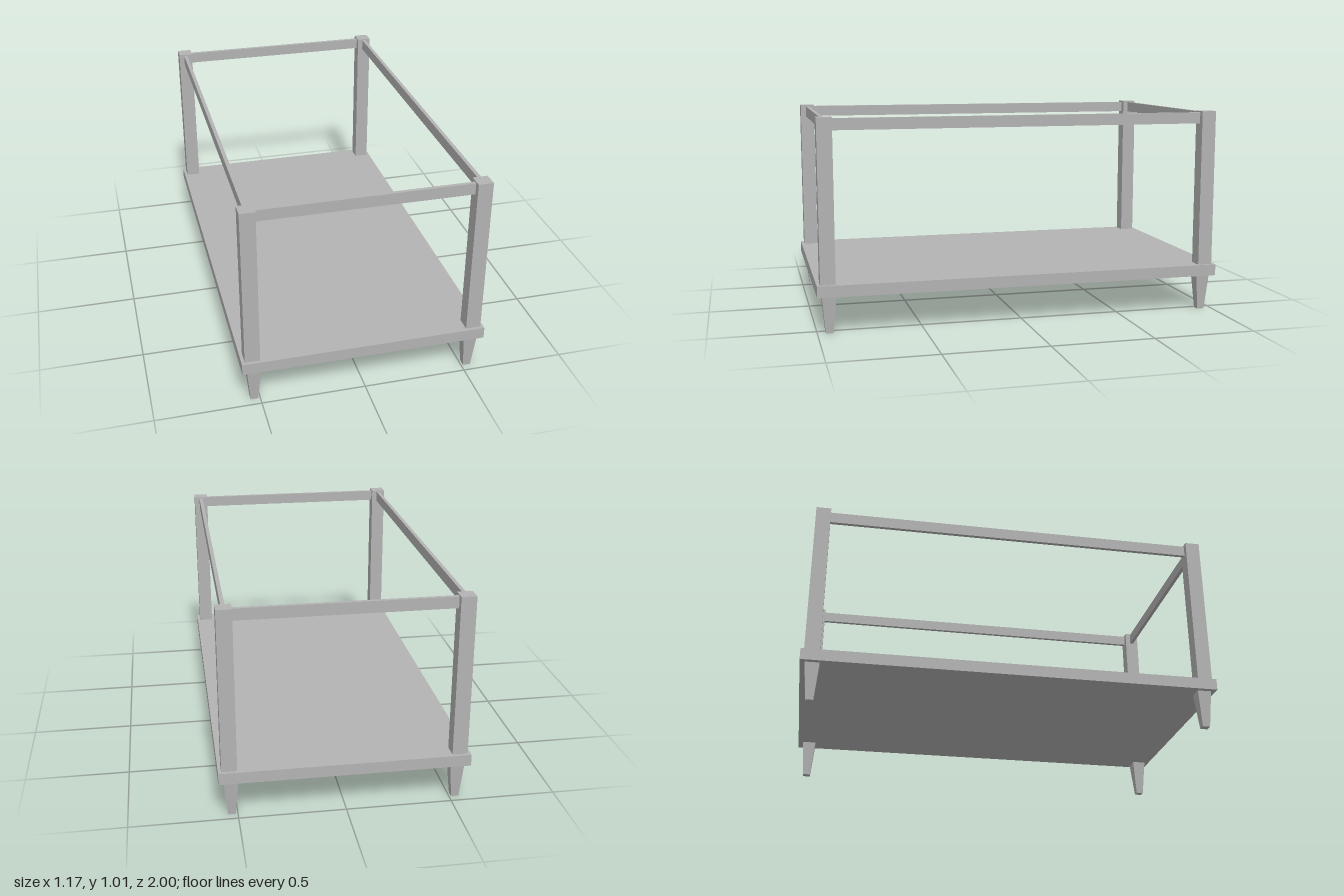
import * as THREE from 'three';

export function createModel() {
  const group = new THREE.Group();
  const grey = new THREE.MeshStandardMaterial({ color: 0xb3b3b3 });
  grey.name = 'grey';

  const add = (name, geometry, x, y, z) => {
    const mesh = new THREE.Mesh(geometry, grey);
    mesh.name = name;
    mesh.position.set(x, y, z);
    group.add(mesh);
  };

  const postX = 0.535, postZ = 0.948, postWidth = 0.072;
  const slabBottom = 0.18, slabTop = 0.236, postTop = 1.012;
  const railY = 0.978, railHeight = 0.055, railDepth = 0.018;

  // Base slab
  add('platform', new THREE.BoxGeometry(1.172, slabTop - slabBottom, 2), 0, (slabTop + slabBottom) / 2, 0);

  // Square tapered leg with flat faces
  let leg = new THREE.CylinderGeometry(0.034 * Math.SQRT2, 0.018 * Math.SQRT2, slabBottom, 4);
  leg.rotateY(Math.PI / 4);
  leg = leg.toNonIndexed();
  leg.computeVertexNormals();

  // Corner posts with a leg below each
  const post = new THREE.BoxGeometry(postWidth, postTop - slabTop, postWidth);
  for (const sx of [-1, 1]) {
    for (const sz of [-1, 1]) {
      const corner = (sz > 0 ? 'front' : 'back') + (sx > 0 ? 'Left' : 'Right');
      add(corner + 'Post', post, sx * postX, (postTop + slabTop) / 2, sz * postZ);
      add(corner + 'Leg', leg, sx * 0.528, slabBottom / 2, sz * 0.943);
    }
  }

  // Thin top rails between the posts
  const endRail = new THREE.BoxGeometry(2 * postX - postWidth, railHeight, railDepth);
  const sideRail = new THREE.BoxGeometry(railDepth, railHeight, 2 * postZ - postWidth);
  for (const s of [-1, 1]) {
    add(s > 0 ? 'frontRail' : 'backRail', endRail, 0, railY, s * postZ);
    add(s > 0 ? 'leftRail' : 'rightRail', sideRail, s * postX, railY, 0);
  }
  return group;
}
